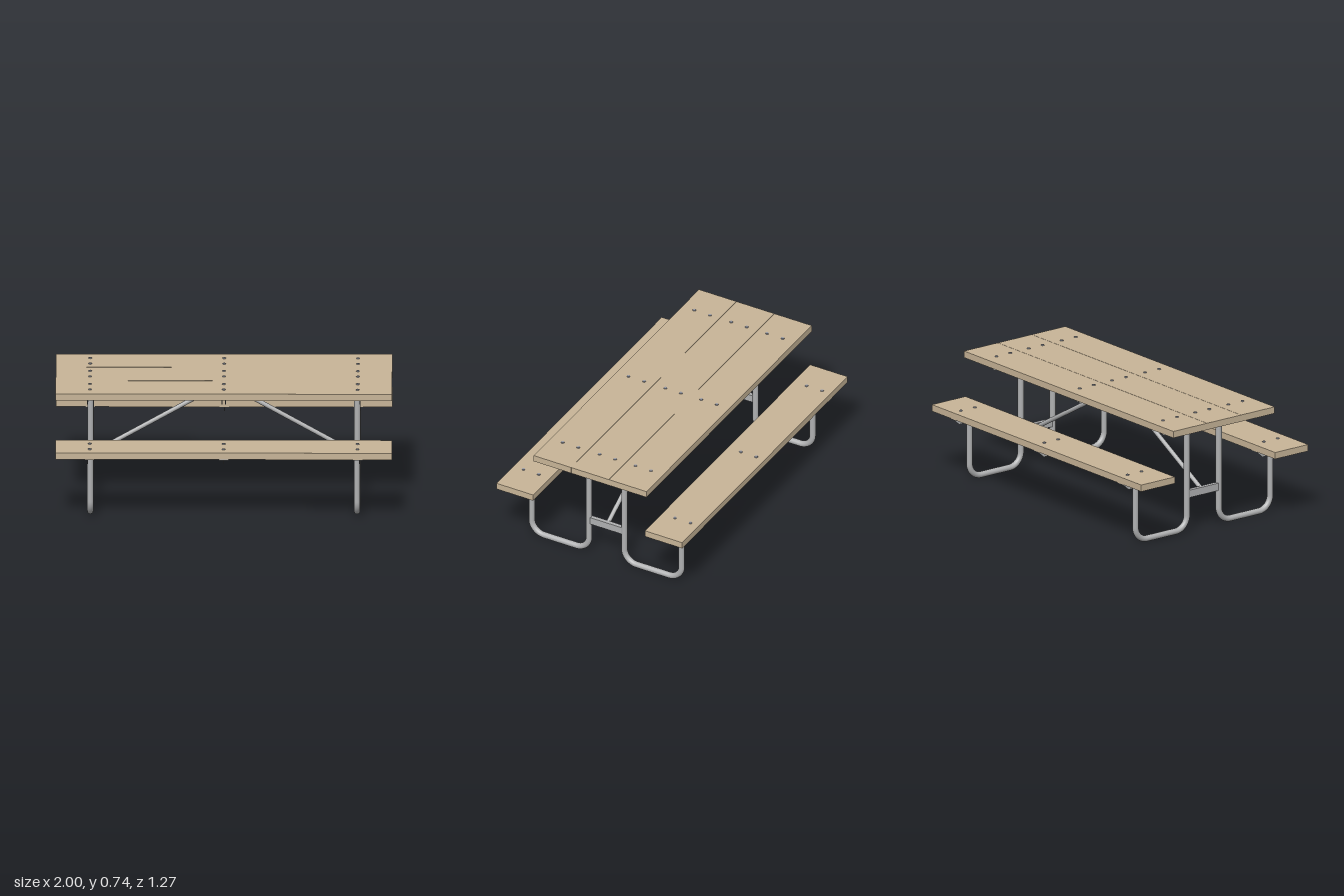
import * as THREE from 'three';

const wood = new THREE.MeshStandardMaterial({ color: 0xc8b598 });
wood.name = 'wood';
const steel = new THREE.MeshStandardMaterial({ color: 0xb0b1b2 });
steel.name = 'galvanised steel';
const boltSteel = new THREE.MeshStandardMaterial({ color: 0x9a9da8 });
boltSteel.name = 'bolt steel';

const FRAME_X = 0.793;   // distance of each end frame from the middle
const PIPE_R = 0.0185;

export function createModel() {
  const model = new THREE.Group();
  model.name = 'picnicTable';

  function add(name, geometry, material, x = 0, y = 0, z = 0) {
    const mesh = new THREE.Mesh(geometry, material);
    mesh.name = name;
    mesh.position.set(x, y, z);
    model.add(mesh);
    return mesh;
  }

  // box given by its limits on each axis
  function block(name, material, [x0, x1], [y0, y1], [z0, z1]) {
    return add(name, new THREE.BoxGeometry(x1 - x0, y1 - y0, z1 - z0), material,
      (x0 + x1) / 2, (y0 + y1) / 2, (z0 + z1) / 2);
  }

  // straight round bar between two points
  function bar(name, a, b, radius) {
    const length = a.distanceTo(b);
    const mesh = add(name, new THREE.CylinderGeometry(radius, radius, length, 20), steel);
    mesh.position.copy(a).add(b).multiplyScalar(0.5);
    mesh.quaternion.setFromUnitVectors(new THREE.Vector3(0, 1, 0), b.clone().sub(a).normalize());
    return mesh;
  }

  // upright plate with sloping ends, standing across the table
  function plate(name, x, yTop, yBottom, [t0, t1], [b0, b1], thickness = 0.008) {
    const shape = new THREE.Shape([
      new THREE.Vector2(-t0, yTop), new THREE.Vector2(-b0, yBottom),
      new THREE.Vector2(-b1, yBottom), new THREE.Vector2(-t1, yTop),
    ]);
    const geometry = new THREE.ExtrudeGeometry(shape, { depth: thickness, bevelEnabled: false });
    geometry.translate(0, 0, -thickness / 2).rotateY(Math.PI / 2);
    return add(name, geometry, steel, x);
  }

  // table top boards, with hairline gaps
  const edges = [-0.391, -0.134, 0.124, 0.381];
  for (let i = 0; i < 3; i++) {
    block('tableBoard', wood, [-1, 1], [0.691, 0.732], [edges[i] + 0.001, edges[i + 1] - 0.001]);
  }

  // bench boards
  block('frontBench', wood, [-1, 1], [0.405, 0.446], [0.383, 0.634]);
  block('backBench', wood, [-1, 1], [0.405, 0.446], [-0.634, -0.379]);

  // bolt heads
  const boltGeometry = new THREE.CylinderGeometry(0.009, 0.011, 0.008, 12);
  for (const x of [-0.796, 0, 0.796]) {
    for (const z of [0.297, 0.19, 0.045, -0.061, -0.2, -0.306]) {
      add('tableBolt', boltGeometry, boltSteel, x, 0.733, z);
    }
    for (const z of [0.565, 0.46, -0.47, -0.575]) {
      add('benchBolt', boltGeometry, boltSteel, x, 0.447, z);
    }
  }

  // angle irons under the table top: one at each end, a pair in the middle
  for (const [x, out] of [[-0.809, 1], [0.809, -1], [-0.011, -1], [0.011, 1]]) {
    plate('tableBracket', x, 0.691, 0.643, [0.352, -0.36], [0.305, -0.312], 0.006);
    const far = x + out * 0.042;
    block('tableBracketFlange', steel, [Math.min(x, far), Math.max(x, far)], [0.685, 0.691], [-0.36, 0.352]);
  }

  // bench supports and the rail under each bench
  for (const s of [1, -1]) {
    const span = s > 0 ? [0.63, 0.386] : [-0.384, -0.631];
    const foot = s > 0 ? [0.577, 0.437] : [-0.44, -0.58];
    for (const x of [-0.809, 0, 0.809]) {
      plate('benchBracket', x, 0.405, 0.36, span, foot, 0.006);
      const inner = x - Math.sign(x) * 0.012;
      block('benchBracketFlange', steel, [inner - 0.028, inner + 0.028], [0.4, 0.405], [span[1], span[0]]);
    }
    const z = s > 0 ? 0.51 : -0.514;
    bar('benchRail', new THREE.Vector3(-FRAME_X, 0.39, z), new THREE.Vector3(FRAME_X, 0.39, z), 0.0135);
  }

  // bent pipe legs: bench post, ground run and table post in one tube
  for (const x of [-FRAME_X, FRAME_X]) {
    for (const s of [1, -1]) {
      const at = (y, z) => new THREE.Vector3(x, y, s * z - 0.002);
      const zi = 0.121, zo = 0.511, low = 0.0205, bend = 0.085;
      const path = new THREE.CurvePath();
      path.add(new THREE.LineCurve3(at(0.402, zo), at(low + bend, zo)));
      const k = bend * 0.448; // handle inset that makes a quarter circle
      path.add(new THREE.CubicBezierCurve3(at(low + bend, zo), at(low + k, zo), at(low, zo - k), at(low, zo - bend)));
      path.add(new THREE.LineCurve3(at(low, zo - bend), at(low, zi + bend)));
      path.add(new THREE.CubicBezierCurve3(at(low, zi + bend), at(low, zi + k), at(low + k, zi), at(low + bend, zi)));
      path.add(new THREE.LineCurve3(at(low + bend, zi), at(0.688, zi)));
      add('pipeLeg', new THREE.TubeGeometry(path, 110, PIPE_R, 20), steel);
    }

    // cross bar between the table posts
    block('crossBar', steel, [x - 0.013, x + 0.013], [0.215, 0.261], [-0.112, 0.108]);

    // sloping brace up to the middle of the table top
    const side = Math.sign(x);
    bar('diagonalBrace', new THREE.Vector3(side * 0.785, 0.238, -0.002),
      new THREE.Vector3(side * 0.008, 0.678, -0.002), 0.0135);
  }

  return model;
}
